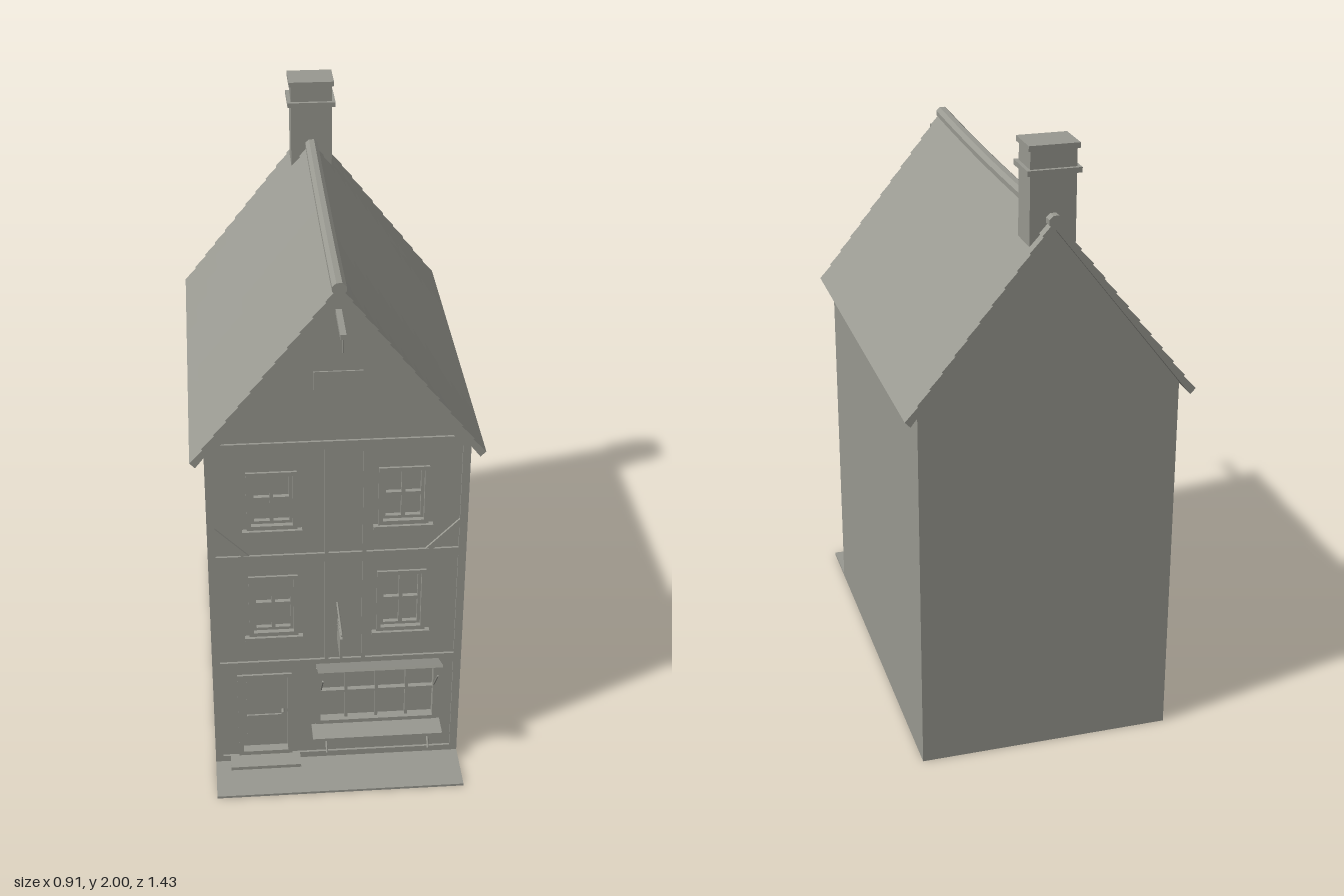
import * as THREE from 'three';

export function createModel() {
  const house = new THREE.Group();
  house.name = 'townHouse';
  const stone = new THREE.MeshStandardMaterial({ color: 0x999991 });
  stone.name = 'warmGrey';

  const add = (name, geo) => {
    const m = new THREE.Mesh(geo, stone);
    m.name = name;
    house.add(m);
    return m;
  };
  // Box given by its extents
  const box = (name, x0, x1, y0, y1, z0, z1) => {
    const g = new THREE.BoxGeometry(x1 - x0, y1 - y0, z1 - z0);
    g.translate((x0 + x1) / 2, (y0 + y1) / 2, (z0 + z1) / 2);
    return add(name, g);
  };
  // Round bar between two points
  const bar = (name, a, b, r) => {
    const p = new THREE.Vector3(...a), q = new THREE.Vector3(...b);
    const d = q.clone().sub(p);
    const m = add(name, new THREE.CylinderGeometry(r, r, d.length(), 6));
    m.position.copy(p).add(q).multiplyScalar(0.5);
    m.quaternion.setFromUnitVectors(new THREE.Vector3(0, 1, 0), d.normalize());
  };
  const poly = pts => new THREE.Shape(pts.map(p => new THREE.Vector2(...p)));
  const prism = (name, shape, z0, z1, steps = 1) => {
    const g = new THREE.ExtrudeGeometry(shape, { depth: z1 - z0, bevelEnabled: false, steps });
    g.translate(0, 0, z0);
    return add(name, g);
  };
  const rect = (x0, x1, y0, y1) => poly([[x0, y0], [x1, y0], [x1, y1], [x0, y1]]);
  const frame = (name, [x0, x1, y0, y1], t, z0, z1) => {
    const s = rect(x0, x1, y0, y1);
    s.holes.push(rect(x0 + t, x1 - t, y0 + t, y1 - t));
    prism(name, s, z0, z1);
  };

  const BACK = -0.69, CORE = 0.515, WALL = 0.538, FRONT = 0.546;
  const outline = [[-0.41, 0], [0.41, 0], [0.41, 1.225], [0, 1.755], [-0.41, 1.225]];
  const windows = [
    [-0.285, -0.127, 0.945, 1.155], [0.127, 0.285, 0.945, 1.155],
    [-0.285, -0.127, 0.53, 0.765], [0.127, 0.285, 0.53, 0.765],
  ];
  const door = [-0.33, -0.15, 0.03, 0.37];
  const shop = [-0.07, 0.335, 0.15, 0.385];

  // Walls: solid core and a front skin with openings
  prism('walls', poly(outline), BACK, CORE);
  const skin = poly(outline);
  for (const o of [...windows, door, shop]) skin.holes.push(rect(...o));
  prism('frontWall', skin, CORE, WALL);
  box('pavement', -0.41, 0.41, 0, 0.008, CORE, 0.718);

  // Timber framing
  for (const s of [-1, 1]) {
    box('cornerPost', Math.min(s * 0.41, s * 0.385), Math.max(s * 0.41, s * 0.385), 0, 1.225, WALL, FRONT);
    prism('cornerBrace', poly([[s * 0.385, 0.925], [s * 0.385, 0.955], [s * 0.28, 0.848], [s * 0.305, 0.848]]), WALL, FRONT);
    prism('gableTimber', poly([[s * 0.41, 1.225], [0, 1.755], [0, 1.72], [s * 0.385, 1.225]]), WALL, FRONT);
  }
  for (const [y0, y1] of [[0.008, 0.03], [0.395, 0.425], [0.815, 0.847], [1.232, 1.26]]) {
    const w = y1 > 1.225 ? 0.383 : 0.41;
    box('crossBeam', -w, w, y0, y1, WALL, FRONT);
  }
  for (const [y0, y1] of [[0.425, 0.815], [0.847, 1.232]])
    for (const x of [-0.041, 0.079]) box('stud', x, x + 0.012, y0, y1, WALL, FRONT);
  box('loftHatch', -0.075, 0.075, 1.28, 1.5, WALL, WALL + 0.005);

  // Sash windows
  for (const w of windows) {
    const [x0, x1, y0, y1] = w, cx = (x0 + x1) / 2, cy = (y0 + y1) / 2;
    frame('windowFrame', w, 0.014, CORE, FRONT);
    frame('sash', [x0 + 0.014, x1 - 0.014, y0 + 0.014, y1 - 0.014], 0.01, CORE, 0.53);
    box('mullion', cx - 0.006, cx + 0.006, y0 + 0.02, y1 - 0.02, CORE, 0.53);
    box('transom', x0 + 0.02, x1 - 0.02, cy - 0.006, cy + 0.006, CORE, 0.53);
    box('windowSill', x0 - 0.015, x1 + 0.015, y0 - 0.01, y0, WALL, 0.556);
  }

  // Door and step
  frame('doorFrame', door, 0.015, CORE, FRONT);
  for (const [y0, y1] of [[0.06, 0.18], [0.21, 0.34]])
    box('doorPanel', -0.3, -0.18, y0, y1, CORE, 0.521);
  bar('doorHandle', [-0.18, 0.195, CORE], [-0.18, 0.195, 0.535], 0.006);
  box('doorStep', -0.36, -0.125, 0.018, 0.03, CORE, 0.605);

  // Shop window
  frame('shopFrame', shop, 0.014, CORE, FRONT);
  for (let i = 1; i < 4; i++) {
    const x = -0.07 + i * 0.405 / 4;
    box('shopMullion', x - 0.005, x + 0.005, 0.16, 0.375, CORE, 0.532);
  }
  box('shopTransom', -0.06, 0.325, 0.27, 0.28, CORE, 0.532);
  box('counter', -0.085, 0.347, 0.135, 0.145, WALL, 0.616);

  // Raised shutter, as a tilted board
  const shutter = box('shutter', -0.07, 0.335, -0.004, 0.004, 0, 0.112);
  shutter.position.set(0, 0.402, 0.546);
  shutter.rotation.x = -Math.atan2(0.05, 0.1);
  for (const x of [-0.055, 0.32]) bar('shutterStay', [x, 0.412, 0.645], [x, 0.315, 0.567], 0.003);
  for (const x of [-0.038, 0.302]) bar('counterBracket', [x, 0.075, 0.606], [x, 0.138, 0.552], 0.004);

  // Hanging sign
  bar('signArm', [0, 0.645, WALL], [0, 0.645, 0.713], 0.004);
  bar('signBrace', [0, 0.645, 0.645], [0, 0.555, WALL], 0.003);
  for (const z of [0.615, 0.677]) bar('signHanger', [0, 0.615, z], [0, 0.645, z], 0.002);
  box('signBoard', -0.004, 0.004, 0.533, 0.62, 0.588, 0.696);

  // Hoist beam and hook
  box('hoistBeam', -0.009, 0.009, 1.688, 1.704, 0.5, 0.7);
  bar('hoistHook', [0, 1.64, 0.686], [0, 1.69, 0.686], 0.003);

  // Stepped tile slopes with a gently sagging ridge
  const Z0 = -0.717, Z1 = 0.56, COURSES = 12;
  const sag = mesh => {
    const p = mesh.geometry.attributes.position;
    for (let i = 0; i < p.count; i++) {
      const t = (2 * p.getZ(i) - Z0 - Z1) / (Z1 - Z0);
      const k = Math.max(0, 1 - Math.abs(p.getX(i)) / 0.455);
      p.setY(i, p.getY(i) - 0.012 * (1 - t * t) * k);
    }
    mesh.geometry.computeVertexNormals();
  };
  for (const s of [-1, 1]) {
    const pts = [[0, 1.755], [s * 0.437, 1.192]];
    for (let i = 0; i < COURSES; i++) {
      const a = 1 - i / COURSES, b = 1 - (i + 1) / COURSES;
      pts.push([s * (0.45 * a + 0.004), 1.785 - 0.578 * a + 0.003]);
      pts.push([s * 0.45 * b, 1.785 - 0.578 * b]);
    }
    sag(prism('roofSlope', poly(pts), Z0, Z1, 12));
  }
  const ridge = new THREE.Shape();
  for (let i = 0; i < 8; i++) {
    const a = i * Math.PI / 4 + Math.PI / 8;
    ridge[i ? 'lineTo' : 'moveTo'](0.023 * Math.cos(a), 1.779 + 0.021 * Math.sin(a));
  }
  sag(prism('ridgeTiles', ridge, Z0, Z1, 12));

  // Chimney
  box('chimneyStack', -0.07, 0.07, 1.7, 1.985, -0.685, -0.575);
  box('chimneyBand', -0.082, 0.082, 1.913, 1.929, -0.697, -0.563);
  box('chimneyCap', -0.077, 0.077, 1.984, 2, -0.692, -0.568);

  return house;
}
